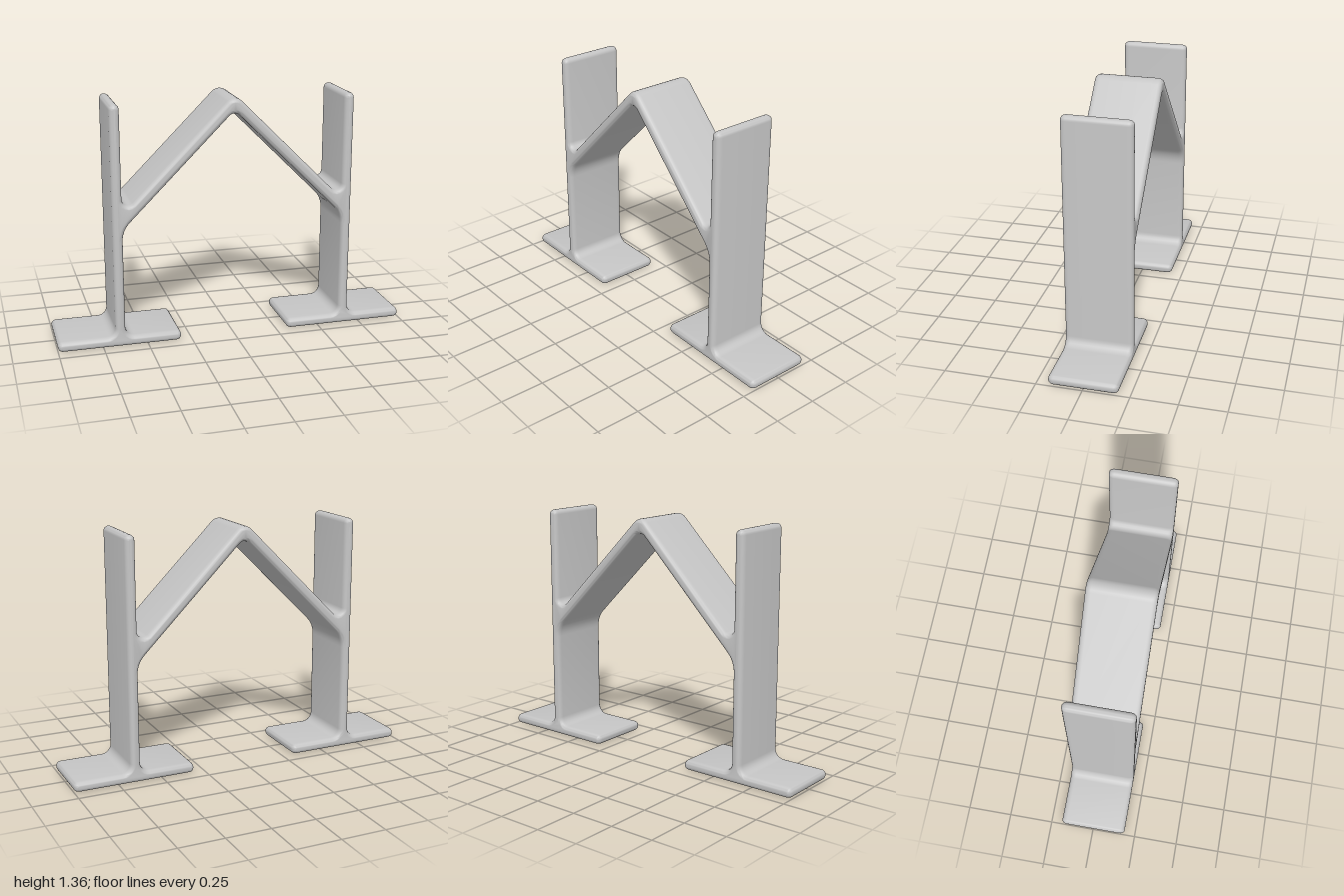
import * as THREE from 'three';
import { toCreasedNormals } from 'three/addons/utils/BufferGeometryUtils.js';

// Shape from corners [x, y, radius], each corner replaced by a circular arc
function roundedOutline(corners, steps = 6) {
  const pts = [];
  const n = corners.length;
  corners.forEach(([x, y, r], i) => {
    const c = new THREE.Vector2(x, y);
    const toPrev = new THREE.Vector2(...corners[(i + n - 1) % n]).sub(c).normalize();
    const toNext = new THREE.Vector2(...corners[(i + 1) % n]).sub(c).normalize();
    const half = Math.acos(toPrev.dot(toNext)) / 2;
    const centre = toPrev.clone().add(toNext).normalize().multiplyScalar(r / Math.sin(half)).add(c);
    const start = toPrev.clone().multiplyScalar(r / Math.tan(half)).add(c).sub(centre);
    const turn = (Math.PI - 2 * half) * Math.sign(toNext.cross(toPrev));
    for (let k = 0; k <= steps; k++) {
      pts.push(start.clone().rotateAround(new THREE.Vector2(), turn * k / steps).add(centre));
    }
  });
  return new THREE.Shape(pts);
}

export function createModel() {
  const group = new THREE.Group();
  group.name = 'gabledFrame';
  const grey = new THREE.MeshStandardMaterial({ color: 0xc4c4c4 });
  grey.name = 'light grey';

  // Left half of the outline: brace underside, foot, post, brace top
  const end = 0.027;
  const half = [
    [0.625, 0.67, 0.14],
    [0.625, 0.06, 0.05],
    [0.31, 0.06, end],
    [0.31, 0.003, end],
    [1.0, 0.003, end],
    [1.0, 0.06, end],
    [0.68, 0.06, 0.05],
    [0.68, 1.36, end],
    [0.625, 1.36, end],
    [0.625, 0.76, 0.035],
  ];
  const mirrored = half.map(([x, y, r]) => [-x, y, r]).reverse();
  const outline = roundedOutline([...half, [0, 1.385, 0.06], ...mirrored, [0, 1.295, 0.04]]);

  // Posts, feet and braces flow together as one band with softened edges
  const width = 0.374, bevel = 0.03;
  const geometry = new THREE.ExtrudeGeometry(outline, {
    depth: width - 2 * bevel,
    bevelEnabled: true,
    bevelThickness: bevel,
    bevelSize: 0.022,
    bevelOffset: -0.022,
    bevelSegments: 5,
  });
  geometry.translate(0, 0, bevel - width / 2);
  geometry.computeBoundingBox();
  geometry.translate(0, -geometry.boundingBox.min.y, 0);

  const frame = new THREE.Mesh(toCreasedNormals(geometry, 0.8), grey);
  frame.name = 'frame';
  group.add(frame);
  return group;
}
